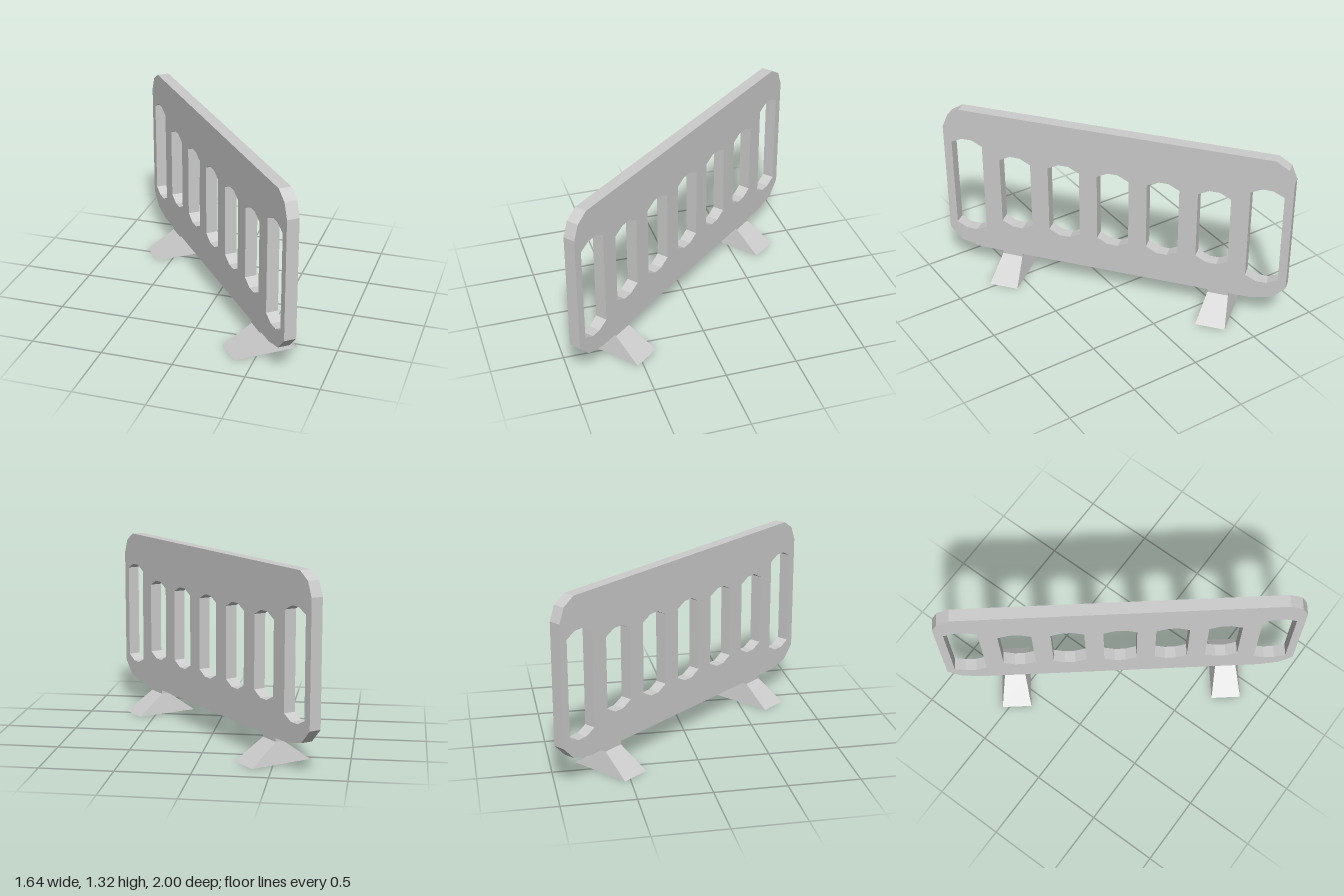
import * as THREE from 'three';

const material = new THREE.MeshStandardMaterial({ color: 0xcccccc, flatShading: true });
const THICKNESS = 0.084;

// Upright slot with chamfered ends, as a hole path
function slot(cx, bottom, top, shoulder) {
  const w = 0.115, f = 0.037;
  return new THREE.Path([
    [-w, bottom + shoulder], [-f, bottom], [f, bottom], [w, bottom + shoulder],
    [w, top - shoulder], [f, top], [-f, top], [-w, top - shoulder],
  ].map(([x, y]) => new THREE.Vector2(cx + x, y)));
}

// Barrier panel: chamfered outline with seven slots
function createPanel() {
  const half = [[1.01, 0.18], [1.16, 0.215], [1.252, 0.312], [1.252, 1.16], [1.21, 1.26], [1.122, 1.315]];
  const mirrored = half.map(([x, y]) => [-x, y]).reverse();
  const shape = new THREE.Shape([...half, ...mirrored].map(([x, y]) => new THREE.Vector2(x, y)));
  for (const x of [-0.72, -0.36, 0, 0.36, 0.72]) shape.holes.push(slot(x, 0.41, 1.0, 0.04));
  for (const x of [-1.078, 1.078]) shape.holes.push(slot(x, 0.328, 1.083, 0.038));
  const geometry = new THREE.ExtrudeGeometry(shape, { depth: THICKNESS, bevelEnabled: false });
  geometry.translate(0, 0, -THICKNESS / 2);
  const panel = new THREE.Mesh(geometry, material);
  panel.name = 'panel';
  return panel;
}

// Foot: tapered base below a short neck
function createFoot(x, name) {
  const neckW = 0.15, neckD = 0.06, baseW = 0.212, baseD = 0.46, baseH = 0.147;
  const foot = new THREE.Group();
  foot.name = name;

  const taper = new THREE.BoxGeometry(baseW, baseH, baseD);
  const p = taper.attributes.position;
  for (let i = 0; i < p.count; i++) {
    if (p.getY(i) > 0) {
      p.setX(i, Math.sign(p.getX(i)) * neckW / 2);
      p.setZ(i, Math.sign(p.getZ(i)) * neckD / 2);
    }
  }
  taper.computeVertexNormals();
  const base = new THREE.Mesh(taper, material);
  base.name = 'footBase';
  base.position.y = baseH / 2;

  const neck = new THREE.Mesh(new THREE.BoxGeometry(neckW, 0.04, neckD), material);
  neck.name = 'footNeck';
  neck.position.y = baseH + 0.015;

  foot.add(base, neck);
  foot.position.x = x;
  return foot;
}

export function createModel() {
  const model = new THREE.Group();
  model.name = 'barrier';
  // The whole barrier stands diagonally
  const barrier = new THREE.Group();
  barrier.name = 'barrierBody';
  barrier.add(createPanel(), createFoot(0.775, 'leftFoot'), createFoot(-0.775, 'rightFoot'));
  barrier.rotation.y = -0.89;
  model.add(barrier);
  return model;
}
